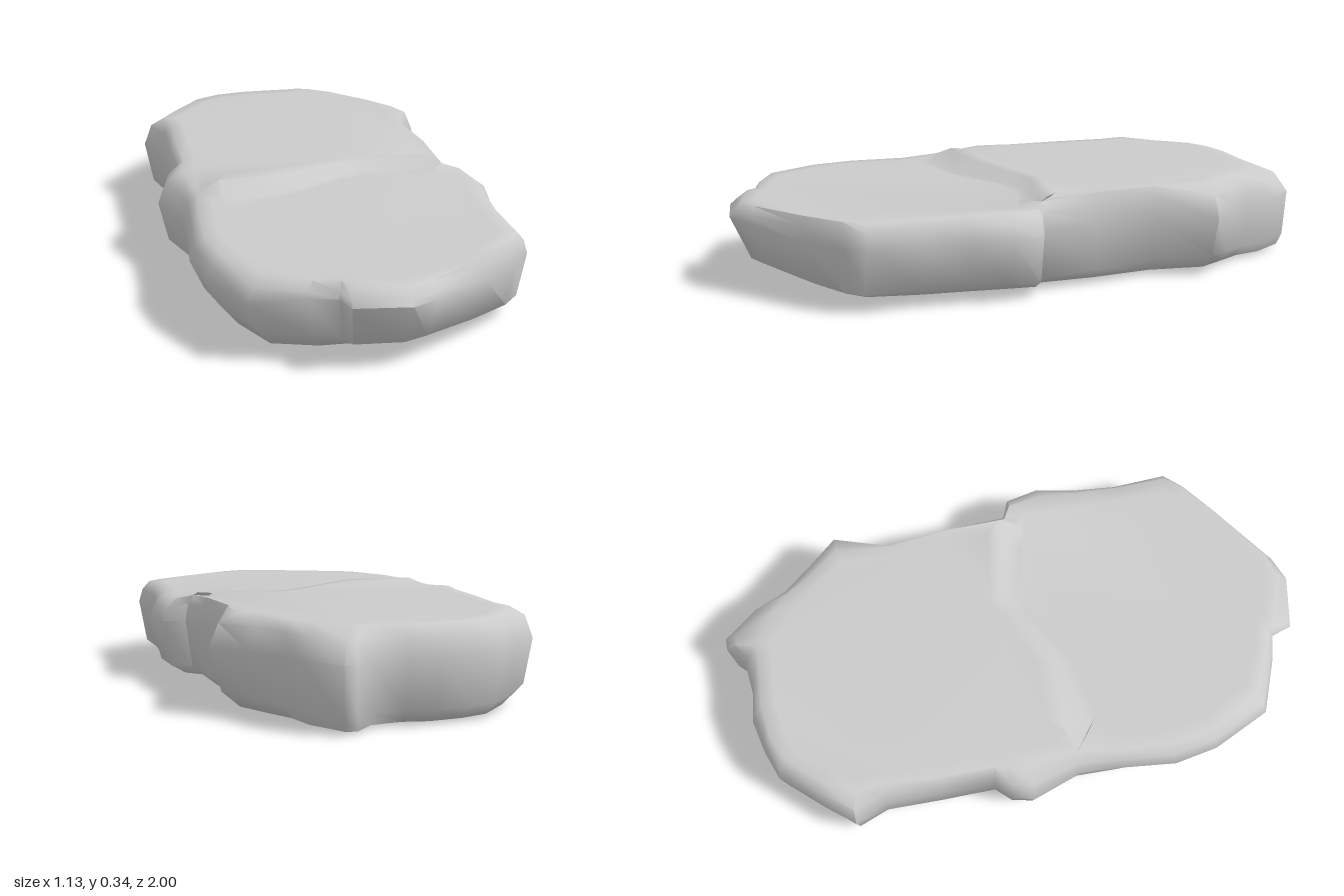
import * as THREE from 'three';
import { toCreasedNormals } from 'three/addons/utils/BufferGeometryUtils.js';

// Outline points run clockwise seen from above: x, z, inset of top edge, inset of bottom edge, height of lower wall edge
const BACK = [
  [-0.51, 0.12, 0.05, 0.07, 0.07], [-0.57, -0.05, 0.09, 0.08, 0.07], [-0.55, -0.12, 0.08, 0.07, 0.07],
  [-0.49, -0.17, 0.03, 0.05, 0.06], [-0.485, -0.36, 0.03, 0.04, 0.06], [-0.48, -0.55, 0.04, 0.04, 0.06],
  [-0.53, -0.66, 0.08, 0.07, 0.06], [-0.43, -0.77, 0.05, 0.05, 0.05], [-0.32, -0.89, 0.05, 0.05, 0.05],
  [-0.22, -0.925, 0.04, 0.05, 0.05], [-0.1, -0.95, 0.05, 0.06, 0.05], [0, -0.935, 0.04, 0.06, 0.05],
  [0.12, -0.945, 0.06, 0.05, 0.05], [0.18, -1, 0.12, 0.03, 0.05], [0.22, -1, 0.14, 0.03, 0.05],
  [0.31, -0.88, 0.09, 0.04, 0.05], [0.34, -0.77, 0.04, 0.04, 0.05], [0.42, -0.67, 0.06, 0.06, 0.06],
  [0.52, -0.56, 0.09, 0.1, 0.07], [0.43, -0.37, 0.02, 0.05, 0.06], [0.45, -0.15, 0.02, 0.05, 0.05],
  [0.465, 0.05, 0.03, 0.06, 0.05],
];
const FRONT = [
  [0.54, 0.08, 0.05, 0.08, 0.05], [0.565, 0.19, 0.06, 0.1, 0.06], [0.53, 0.32, 0.04, 0.07, 0.06],
  [0.51, 0.47, 0.03, 0.05, 0.06], [0.52, 0.66, 0.04, 0.07, 0.06], [0.46, 0.72, 0.03, 0.07, 0.06],
  [0.32, 0.82, 0.02, 0.09, 0.07], [0.12, 0.96, 0.03, 0.15, 0.09], [0.03, 0.995, 0.04, 0.17, 0.09],
  [-0.15, 0.96, 0.06, 0.15, 0.09], [-0.17, 0.89, 0.03, 0.09, 0.09], [-0.26, 0.865, 0.03, 0.08, 0.1],
  [-0.43, 0.8, 0.06, 0.09, 0.11], [-0.52, 0.6, 0.05, 0.1, 0.12], [-0.545, 0.45, 0.05, 0.11, 0.11],
  [-0.52, 0.25, 0.04, 0.07, 0.09],
];
// Crest and foot of the step across the top, from right (+x) to left
const CREST = [[0.425, 0.314, 0.025], [0.34, 0.315, 0.02], [0.15, 0.315, -0.02], [0.08, 0.318, 0], [-0.15, 0.334, 0.095], [-0.38, 0.334, 0.09]];
const FOOT = [[0.435, 0.29, 0.065], [0.34, 0.288, 0.045], [0.15, 0.285, 0.005], [0.08, 0.285, 0.03], [-0.15, 0.285, 0.14], [-0.38, 0.287, 0.18]];

// Move an outline point toward the spine of the slab
function inset([x, z], amount, y) {
  const cz = THREE.MathUtils.clamp(z, -0.55, 0.55);
  const d = Math.hypot(x, z - cz);
  return [x - x / d * amount, y, z - (z - cz) / d * amount];
}

function slabGeometry() {
  const pos = [];
  const tri = (a, b, c) => pos.push(...a, ...b, ...c);
  const outline = [...BACK, ...FRONT];
  const n = outline.length;
  const topY = (p, i) => {
    if (i === 0 || i === BACK.length - 1) return 0.302;
    return i < BACK.length ? (p[1] < -0.75 ? 0.308 : 0.316) : 0.289;
  };
  const baseY = (p) => 0.008 + 0.04 * Math.max(p[1], 0) + 0.04 * p[0] * p[0];

  // Rings from the middle of the underside to the top edge
  const bottom = outline.map((p) => inset(p, p[3], baseY(p)));
  const rings = [
    bottom.map(([x, y, z]) => [x * 0.65, y * 0.7 + 0.004, z * 0.75]),
    bottom,
    outline.map((p) => inset(p, p[3] * 0.4, p[4])),
    outline.map((p) => inset(p, 0, p[1] > 0.85 ? 0.24 : 0.21)),
    outline.map((p, i) => inset(p, p[2] * 0.35, topY(p, i) - 0.03)),
    outline.map((p, i) => inset(p, p[2], topY(p, i))),
  ];
  for (let r = 0; r < rings.length - 1; r++) {
    for (let i = 0; i < n; i++) {
      const j = (i + 1) % n;
      tri(rings[r][i], rings[r + 1][i], rings[r + 1][j]);
      tri(rings[r][i], rings[r + 1][j], rings[r][j]);
    }
  }
  for (let i = 0; i < n; i++) tri([0, 0, 0], rings[0][i], rings[0][(i + 1) % n]);

  // Two top faces meeting at the step, each a narrow border around a flat centre
  const top = rings[rings.length - 1];
  const cap = (edge, cz) => {
    const inner = edge.map(([x, y, z]) => [x * 0.9, y + 0.001, cz + (z - cz) * 0.9]);
    edge.forEach((p, i) => {
      const j = (i + 1) % edge.length;
      tri(p, inner[i], inner[j]);
      tri(p, inner[j], edge[j]);
    });
    const flat = inner.map((p) => new THREE.Vector2(p[0], -p[2]));
    for (const f of THREE.ShapeUtils.triangulateShape(flat, [])) {
      const [a, b, c] = f.map((k) => inner[k]);
      const up = (b[2] - a[2]) * (c[0] - a[0]) - (b[0] - a[0]) * (c[2] - a[2]) > 0;
      if (up) tri(a, b, c); else tri(a, c, b);
    }
  };
  const right = top[BACK.length - 1], left = top[0];
  cap([...top.slice(0, BACK.length), ...CREST], -0.42);
  cap([right, ...top.slice(BACK.length), left, ...[...FOOT].reverse()], 0.5);

  // Step face
  const hi = [right, ...CREST, left], lo = [right, ...FOOT, left];
  for (let i = 0; i < hi.length - 1; i++) {
    if (i > 0) tri(hi[i], hi[i + 1], lo[i]);
    if (i < hi.length - 2) tri(hi[i + 1], lo[i + 1], lo[i]);
  }

  const geometry = new THREE.BufferGeometry();
  geometry.setAttribute('position', new THREE.Float32BufferAttribute(pos, 3));
  return toCreasedNormals(geometry, 1.0);
}

export function createModel() {
  const group = new THREE.Group();
  group.name = 'rockSlab';
  const slab = new THREE.Mesh(slabGeometry(), new THREE.MeshStandardMaterial({ color: 0xcccccc }));
  slab.name = 'steppedStone';
  group.add(slab);
  return group;
}
